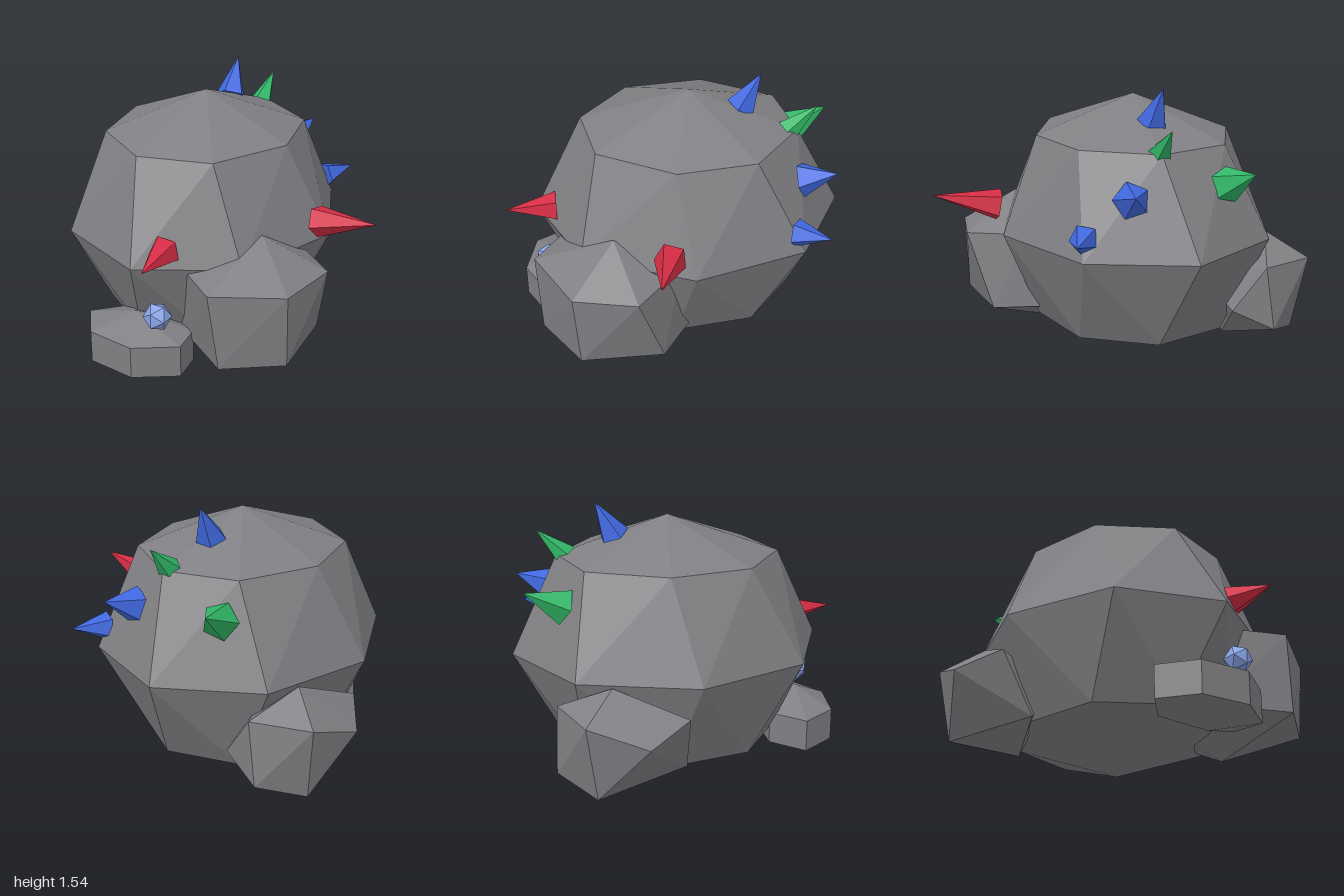
import * as THREE from 'three';
import { ConvexGeometry } from 'three/addons/geometries/ConvexGeometry.js';

const mat = (name, color) => new THREE.MeshStandardMaterial({ name, color, flatShading: true });

export function createModel() {
  const group = new THREE.Group();
  const stone = mat('stone grey', 0x808084);
  const red = mat('crystal red', 0xd62d45);
  const blue = mat('crystal blue', 0x4169e1);
  const green = mat('crystal green', 0x32b868);
  const paleBlue = mat('pebble pale blue', 0x8aa4e8);

  const add = (name, geometry, material) => {
    const mesh = new THREE.Mesh(geometry, material);
    mesh.name = name;
    group.add(mesh);
    return mesh;
  };
  // Faceted rock wrapped around its corner points
  const rock = (name, points) =>
    add(name, new ConvexGeometry(points.map(p => new THREE.Vector3(...p))), stone);

  // Main boulder: two poles, a wide equator and two narrower rings
  const equator = [[0.653, -0.12], [0.45, 0.5], [-0.055, 0.786], [-0.61, 0.556],
    [-0.867, -0.04], [-0.675, -0.66], [-0.15, -0.943], [0.396, -0.716]];
  const narrow = [[0.43, -0.016], [0.225, 0.415], [-0.176, 0.524], [-0.54, 0.283],
    [-0.638, -0.16], [-0.437, -0.573], [-0.04, -0.68], [0.326, -0.443]];
  const main = [[-0.107, 0, -0.08], [-0.107, 1.46, -0.08]];
  equator.forEach(([x, z]) => main.push([x, 0.73, z]));
  narrow.forEach(([x, z]) => main.push([x, 0.214, z], [x, 1.248, z]));
  rock('mainBoulder', main);

  // Side boulders
  rock('leftBoulder', [
    [0.47, 0.86, 0.32], [0.32, 0.075, 0.295],
    [0.39, 0.68, 0.76], [0.73, 0.655, 0.53], [0.79, 0.67, 0.18],
    [0.5, 0.69, -0.03], [0.15, 0.72, 0.1], [0.15, 0.705, 0.6],
    [0.44, 0.255, 0.73], [0.72, 0.24, 0.5], [0.68, 0.25, 0.05],
    [0.35, 0.29, -0.14], [0.05, 0.28, 0.1], [0.07, 0.28, 0.5],
  ]);
  rock('rightBoulder', [
    [-0.74, 0.72, -0.48], [-1, 0.48, -0.33], [-0.93, 0.59, -0.64],
    [-0.87, 0.175, -0.58], [-0.67, 0.25, -0.765], [-0.62, 0.6, -0.75],
    [-0.845, 0.56, -0.1], [-0.54, 0.11, -0.39], [-0.45, 0.36, -0.7],
    [-0.66, 0.22, -0.08], [-0.4, 0.5, -0.3],
  ]);

  // Low front boulder
  const frontRing = [[-0.43, 0.65], [-0.29, 0.84], [-0.01, 0.875], [0.21, 0.73],
    [0.18, 0.55], [0, 0.48], [-0.27, 0.48]];
  const front = [[-0.11, 0.42, 0.67], [-0.11, 0.043, 0.67]];
  frontRing.forEach(([x, z]) => front.push([x, 0.32, z], [x, 0.14, z]));
  rock('frontBoulder', front);

  // Small pebble
  add('pebble', new THREE.IcosahedronGeometry(0.078, 0), paleBlue).position.set(0.065, 0.457, 0.722);

  // Five-sided crystals running from a base centre to a tip
  const up = new THREE.Vector3(0, 1, 0);
  const crystal = (name, material, base, tip, radius) => {
    const a = new THREE.Vector3(...base), b = new THREE.Vector3(...tip);
    const axis = b.clone().sub(a);
    const mesh = add(name, new THREE.ConeGeometry(radius, axis.length(), 5), material);
    mesh.position.copy(a).add(b).multiplyScalar(0.5);
    mesh.quaternion.setFromUnitVectors(up, axis.normalize());
  };
  crystal('sideCrystal', red, [0.64, 0.865, 0.015], [1, 0.94, 0.06], 0.09);
  crystal('frontCrystal', red, [0.08, 0.82, 0.66], [0.12, 0.82, 0.94], 0.085);
  crystal('topCrystal', blue, [-0.11, 1.35, -0.37], [-0.125, 1.545, -0.475], 0.085);
  crystal('smallGreenCrystal', green, [-0.05, 1.23, -0.62], [-0.05, 1.39, -0.785], 0.07);
  crystal('largeGreenCrystal', green, [-0.4, 1.06, -0.68], [-0.465, 1.16, -0.89], 0.1);
  crystal('backBlueCrystal', blue, [0.13, 1.03, -0.7], [0.18, 1.095, -0.89], 0.1);
  crystal('cornerBlueCrystal', blue, [0.37, 0.84, -0.66], [0.465, 0.86, -0.843], 0.08);

  return group;
}
